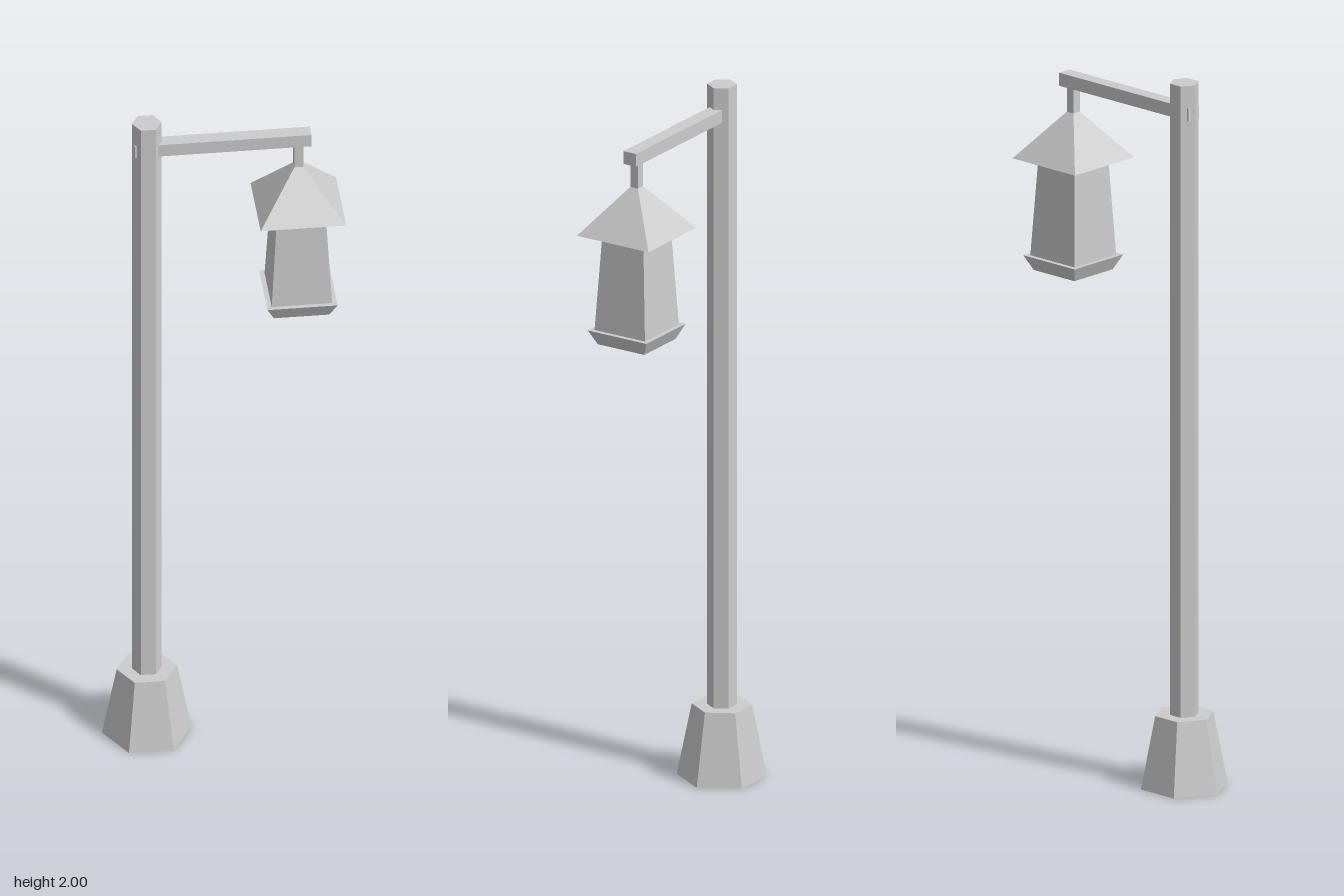
import * as THREE from 'three';

export function createModel() {
  const group = new THREE.Group();
  group.name = 'streetLamp';

  const metal = new THREE.MeshStandardMaterial({ color: 0xcccccc });
  metal.name = 'grey metal';
  metal.flatShading = true;

  const POLE_X = -0.205;
  const LAMP_X = 0.21;

  function add(name, geometry, x, y) {
    const mesh = new THREE.Mesh(geometry, metal);
    mesh.name = name;
    mesh.position.set(x, y, 0);
    group.add(mesh);
  }

  // Six-sided prism with corners on the x axis
  function hex(name, rTop, rBottom, y0, y1) {
    const g = new THREE.CylinderGeometry(rTop, rBottom, y1 - y0, 6).rotateY(Math.PI / 2);
    add(name, g, POLE_X, (y0 + y1) / 2);
  }

  // Four-sided frustum given by half widths, sides facing the axes
  function square(name, hTop, hBottom, y0, y1) {
    const g = new THREE.CylinderGeometry(hTop * Math.SQRT2, hBottom * Math.SQRT2, y1 - y0, 4);
    add(name, g.rotateY(Math.PI / 4), LAMP_X, (y0 + y1) / 2);
  }

  // Post
  hex('base', 0.0825, 0.123, 0, 0.205);
  hex('pole', 0.041, 0.041, 0.2, 2);

  // Arm passes through the pole and shows slightly behind it
  add('arm', new THREE.BoxGeometry(0.484, 0.037, 0.041), 0.002, 1.919);

  // Hanging lantern
  square('hanger', 0.0125, 0.0125, 1.82, 1.905);
  square('lanternRoof', 0, 0.117, 1.698, 1.845);
  square('lanternBody', 0.067, 0.083, 1.415, 1.7);
  square('lanternTray', 0.096, 0.076, 1.38, 1.422);

  return group;
}
